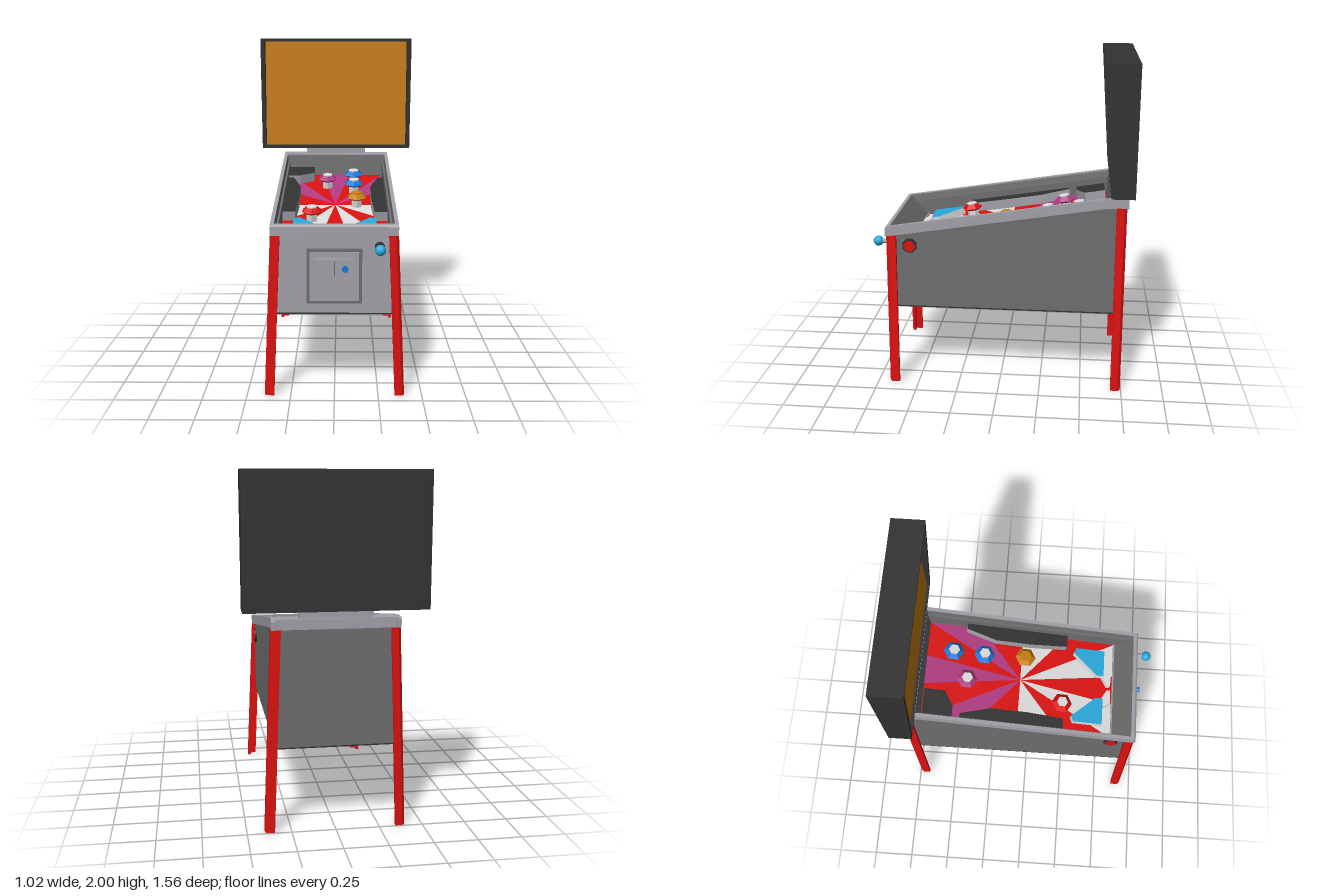
import * as THREE from 'three';

const mat = (name, color, side = THREE.FrontSide) => {
  const m = new THREE.MeshStandardMaterial({ color, side });
  m.name = name;
  return m;
};

export function createModel() {
  const root = new THREE.Group();
  root.name = 'pinballTable';

  const trim = mat('trim gray', 0xa2a1a9);
  const panel = mat('panel gray', 0x6e6e6e, THREE.DoubleSide);
  const black = mat('black', 0x323232);
  const red = mat('red', 0xdc1010);
  const white = mat('white', 0xdedede);
  const amber = mat('amber', 0xc87d10);
  const magenta = mat('magenta', 0xb03c82);
  const cyan = mat('cyan', 0x28a9dc);
  const blue = mat('blue', 0x1478d8);

  // Adds a faceted mesh
  const add = (parent, name, geo, material, x = 0, y = 0, z = 0) => {
    const g = geo.index ? geo.toNonIndexed() : geo;
    g.computeVertexNormals();
    const mesh = new THREE.Mesh(g, material);
    mesh.name = name;
    mesh.position.set(x, y, z);
    parent.add(mesh);
    return mesh;
  };
  const box = (parent, name, w, h, d, m, x, y, z) =>
    add(parent, name, new THREE.BoxGeometry(w, h, d), m, x, y, z);
  // Side profile of [z, y] points, extruded from x0 to x1
  const prism = (pts, x0, x1) =>
    new THREE.ExtrudeGeometry(new THREE.Shape(pts.map(p => new THREE.Vector2(...p))),
      { depth: x1 - x0, bevelEnabled: false }).rotateY(-Math.PI / 2).translate(x1, 0, 0);
  // Plan outline of [x, z] points, extruded upward (or flat when h = 0)
  const plan = (pts, h) => {
    const shape = new THREE.Shape(pts.map(([x, z]) => new THREE.Vector2(x, -z)));
    const g = h ? new THREE.ExtrudeGeometry(shape, { depth: h, bevelEnabled: false })
      : new THREE.ShapeGeometry(shape);
    return g.rotateX(-Math.PI / 2);
  };
  const mirror = (pts, s) => pts.map(([x, z]) => [x * s, z]);

  // Cabinet
  const cabinet = new THREE.Group();
  cabinet.name = 'cabinet';
  root.add(cabinet);
  const sideProfile = [[0.66, 0.49], [0.66, 0.955], [-0.66, 1.165], [-0.735, 1.165], [-0.735, 0.49]];
  const railProfile = [[0.685, 0.94], [0.685, 0.99], [0.675, 1.0], [-0.66, 1.21],
    [-0.745, 1.21], [-0.755, 1.2], [-0.755, 1.15], [-0.64, 1.15], [0.64, 0.945]];
  for (const s of [-1, 1]) {
    const span = (a, b) => (s > 0 ? [a, b] : [-b, -a]);
    add(cabinet, 'sidePanel', prism(sideProfile, ...span(0.318, 0.336)), panel);
    add(cabinet, 'sideRail', prism(railProfile, ...span(0.335, 0.357)), trim);

    // Flipper button on its collar
    for (const [name, r, x, m] of [['buttonCollar', 0.046, 0.338, black], ['flipperButton', 0.035, 0.346, red]])
      add(cabinet, name, new THREE.CylinderGeometry(r, r, 0.02, 8)
        .rotateY(Math.PI / 8).rotateZ(Math.PI / 2), m, s * x, 0.88, 0.54);
  }
  box(cabinet, 'frontPanel', 0.668, 0.465, 0.02, trim, 0, 0.7225, 0.652);
  box(cabinet, 'backPanel', 0.668, 0.675, 0.02, panel, 0, 0.8275, -0.726);
  box(cabinet, 'floor', 0.67, 0.01, 1.394, black, 0, 0.487, -0.0375);
  add(cabinet, 'frontRail', prism([[0.655, 0.94], [0.655, 1.003], [0.675, 1.0], [0.685, 0.99], [0.685, 0.94]], -0.35, 0.35), trim);
  box(cabinet, 'backRail', 0.7, 0.058, 0.1, trim, 0, 1.18, -0.7);

  // Sloping inner walls between the rails and the playfield
  const slope = 0.16, fieldY = z => 0.958 - slope * z;
  const ring = [
    [-0.335, 0.998, 0.656], [0.335, 0.998, 0.656], [0.335, 1.2, -0.65], [-0.335, 1.2, -0.65],
    [-0.317, fieldY(0.54), 0.54], [0.317, fieldY(0.54), 0.54],
    [0.317, fieldY(-0.64), -0.64], [-0.317, fieldY(-0.64), -0.64]];
  const walls = new THREE.BufferGeometry();
  walls.setAttribute('position', new THREE.Float32BufferAttribute(ring.flat(), 3));
  const idx = [];
  for (let i = 0; i < 4; i++) {
    const j = (i + 1) % 4;
    idx.push(i, j, j + 4, i, j + 4, i + 4);
  }
  walls.setIndex(idx);
  add(cabinet, 'innerWalls', walls, panel);

  // Legs: angle section leaning outward to the foot
  const legSection = [[0, 0.015], [0, 0.06], [0.02, 0.06], [0.02, 0.02], [0.055, 0.02], [0.055, 0], [0.015, 0]];
  for (const sx of [-1, 1]) for (const front of [true, false]) {
    const h = front ? 0.942 : 1.152;
    const g = plan(legSection.map(([u, v]) => [sx * (0.358 - u), front ? 0.68 - v : -0.745 + v]), h);
    const p = g.attributes.position;
    for (let i = 0; i < p.count; i++) p.setX(i, p.getX(i) + sx * 0.042 * (1 - p.getY(i) / h));
    add(root, front ? 'frontLeg' : 'backLeg', g, red);
  }

  // Coin door
  const door = new THREE.Group();
  door.name = 'coinDoor';
  root.add(door);
  box(door, 'doorFrame', 0.31, 0.315, 0.02, panel, 0, 0.705, 0.662);
  box(door, 'doorPlate', 0.276, 0.281, 0.02, trim, 0, 0.705, 0.666);
  box(door, 'coinBlock', 0.228, 0.106, 0.035, trim, 0, 0.758, 0.688);
  box(door, 'coinSlot', 0.006, 0.085, 0.004, panel, 0, 0.758, 0.706);
  add(door, 'coinButton', new THREE.CylinderGeometry(0.018, 0.018, 0.022, 8).rotateX(Math.PI / 2), blue, 0.06, 0.758, 0.715);

  // Plunger
  const rod = (r, l) => new THREE.CylinderGeometry(r, r, l, 10).rotateX(Math.PI / 2);
  add(root, 'plungerCollar', rod(0.028, 0.03), black, 0.252, 0.875, 0.67);
  add(root, 'plungerRod', rod(0.014, 0.08), trim, 0.252, 0.875, 0.7);
  add(root, 'plungerKnob', new THREE.SphereGeometry(0.031, 14, 10), cyan, 0.252, 0.875, 0.75);

  // Playfield, tilted toward the front
  const field = new THREE.Group();
  field.name = 'playfield';
  field.position.y = 0.958;
  field.rotation.x = Math.atan(slope);
  field.scale.z = Math.hypot(1, slope);
  root.add(field);
  const W = 0.317, mid = -0.05, L = 0.59;
  box(field, 'frontField', 2 * W, 0.01, L, white, 0, -0.005, mid + L / 2);
  box(field, 'backField', 2 * W, 0.01, L, red, 0, -0.005, mid - L / 2);
  for (const [d, m] of [[1, red], [-1, magenta]]) {
    const tip = [0, mid];
    const rays = [[tip, [-0.093, mid + d * L], [0.093, mid + d * L]],
      ...[-1, 1].map(s => [tip, [s * W, mid + d * L], [s * W, mid + d * 0.264]])];
    for (const ray of rays) add(field, 'fieldRay', plan(ray, 0), m, 0, 0.002, 0);
  }
  box(field, 'fieldLip', 2 * W, 0.012, 0.008, trim, 0, 0.004, 0.538);

  // Guides, slingshots and flippers, mirrored
  const guide = [[0.316, -0.41], [0.28, -0.41], [0.226, -0.225], [0.226, 0], [0.24, 0.225], [0.316, 0.225]];
  const sling = [[0.246, 0.47], [0.246, 0.29], [0.212, 0.275], [0.075, 0.425], [0.075, 0.47]];
  const flipper = [[0.125, 0.485], [0.105, 0.458], [0.085, 0.455], [0.015, 0.495], [0.015, 0.515], [0.1, 0.52]];
  for (const s of [-1, 1]) {
    add(field, 'laneGuide', plan(mirror(guide, s), 0.06), [black, trim]);
    add(field, 'slingshot', plan(mirror(sling, s), 0.045), [cyan, white]);
    add(field, 'flipper', plan(mirror(flipper, s), 0.04), white);
  }
  add(field, 'cornerGuide', plan([[-0.316, -0.455], [-0.24, -0.455], [-0.145, -0.51], [-0.145, -0.635], [-0.316, -0.635]], 0.06), [black, trim]);

  // Bumpers: hexagonal post, flared cap and pale top
  for (const [x, z, m] of [[-0.053, -0.385, magenta], [0.12, -0.48, blue], [0.12, -0.29, blue],
    [0.135, -0.035, amber], [-0.14, 0.21, red]]) {
    const bumper = new THREE.Group();
    bumper.name = 'bumper';
    bumper.position.set(x, 0, z);
    field.add(bumper);
    const hex = (name, top, bottom, y0, y1, c) =>
      add(bumper, name, new THREE.CylinderGeometry(top, bottom, y1 - y0, 6), c, 0, (y0 + y1) / 2, 0);
    hex('bumperPost', 0.036, 0.036, 0, 0.052, white);
    hex('capUnderside', 0.064, 0.042, 0.046, 0.06, m);
    hex('bumperCap', 0.036, 0.064, 0.06, 0.085, m);
    hex('capTop', 0.034, 0.034, 0.085, 0.091, m === amber ? amber : white);
  }

  // Backbox with a sloping open front and an upright screen inside
  const backbox = new THREE.Group();
  backbox.name = 'backbox';
  root.add(backbox);
  const rect = (S, w, y0, y1) => {
    const s = new S();
    s.moveTo(-w, y0).lineTo(w, y0).lineTo(w, y1).lineTo(-w, y1).closePath();
    return s;
  };
  const shell = rect(THREE.Shape, 0.51, 1.25, 2);
  shell.holes.push(rect(THREE.Path, 0.482, 1.272, 1.98));
  const shellGeo = new THREE.ExtrudeGeometry(shell, { depth: 0.19, bevelEnabled: false }).translate(0, 0, -0.78);
  const p = shellGeo.attributes.position;
  for (let i = 0; i < p.count; i++)
    if (p.getZ(i) > -0.7) p.setZ(i, -0.645 + (p.getY(i) - 1.25) / 0.75 * 0.055);
  add(backbox, 'backboxShell', shellGeo, black);
  box(backbox, 'backboxRear', 0.97, 0.712, 0.1, black, 0, 1.626, -0.7295);
  box(backbox, 'screen', 0.966, 0.71, 0.008, amber, 0, 1.626, -0.664);
  box(backbox, 'neck', 0.41, 0.06, 0.046, trim, 0, 1.228, -0.712);

  return root;
}
